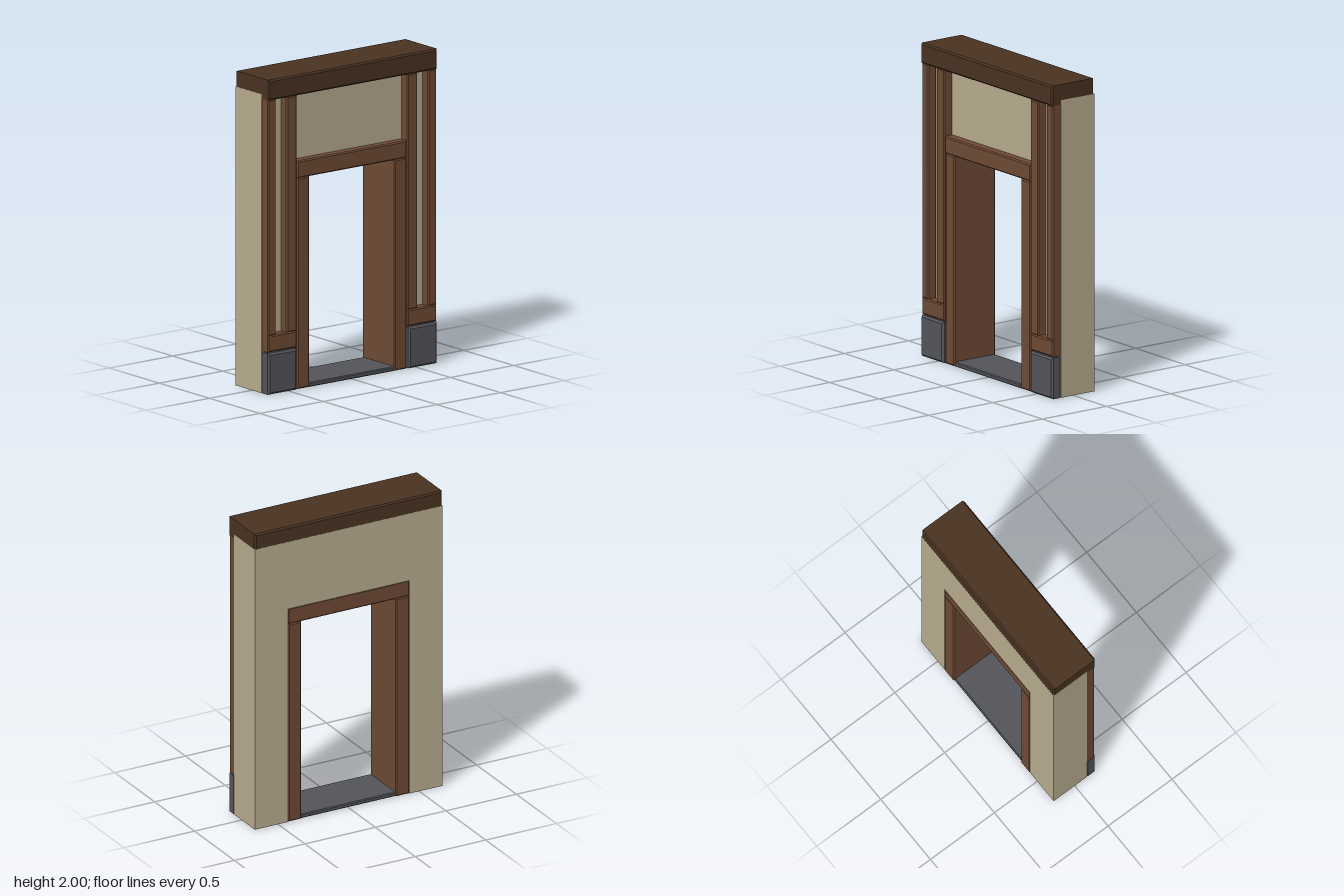
import * as THREE from 'three';

const mat = (name, color) => new THREE.MeshStandardMaterial({ name, color });

// Box with chamfered edges, given by its min and max corners
function chamferBox([x0, y0, z0], [x1, y1, z1], c) {
  const s = new THREE.Shape();
  s.moveTo(x0 + c, y0 + c);
  s.lineTo(x1 - c, y0 + c);
  s.lineTo(x1 - c, y1 - c);
  s.lineTo(x0 + c, y1 - c);
  s.closePath();
  const g = new THREE.ExtrudeGeometry(s, {
    depth: z1 - z0 - 2 * c, bevelEnabled: true, bevelSegments: 1, bevelSize: c, bevelThickness: c,
  });
  return g.translate(0, 0, z0 + c);
}

export function createModel() {
  const model = new THREE.Group();
  model.name = 'doorway';
  const plaster = mat('plaster', 0xb8ac8f);
  const wood = mat('wood', 0x6e4a35);
  const darkWood = mat('darkWood', 0x4a3322);
  const stone = mat('stone', 0x54555b);

  const add = (name, geometry, material) => {
    const mesh = new THREE.Mesh(geometry, material);
    mesh.name = name;
    model.add(mesh);
  };
  const block = (name, min, max, material, c = 0.008) => add(name, chamferBox(min, max, c), material);

  // Plaster wall: an arch-shaped slab around the opening
  const outline = [[-0.665, 0], [-0.43, 0], [-0.43, 1.445], [0.43, 1.445], [0.43, 0], [0.665, 0], [0.665, 1.9], [-0.665, 1.9]];
  const wallShape = new THREE.Shape(outline.map(([x, y]) => new THREE.Vector2(x, y)));
  const wall = new THREE.ExtrudeGeometry(wallShape, { depth: 0.26, bevelEnabled: false });
  add('wall', wall.translate(0, 0, -0.165), plaster);

  // Top beam, lintel and threshold
  block('topBeam', [-0.664, 1.87, -0.164], [0.664, 2, 0.165], darkWood, 0.01);
  block('lintel', [-0.432, 1.34, -0.167], [0.432, 1.45, 0.155], wood);
  block('threshold', [-0.336, 0, -0.16], [0.336, 0.028, 0.155], stone, 0.006);

  // Mirrored side parts
  for (const [side, s] of [['left', 1], ['right', -1]]) {
    const sideBlock = (name, x0, x1, y0, y1, z0, z1, material, c) => {
      const a = Math.min(s * x0, s * x1), b = Math.max(s * x0, s * x1);
      block(side + name, [a, y0, z0], [b, y1, z1], material, c);
    };
    sideBlock('Jamb', 0.335, 0.43, 0, 1.342, -0.167, 0.155, wood);
    sideBlock('OuterPost', 0.598, 0.664, 0.372, 1.872, 0.09, 0.158, wood);
    sideBlock('InnerPost', 0.435, 0.515, 0.372, 1.872, 0.09, 0.158, wood);
    sideBlock('Rail', 0.435, 0.664, 0.268, 0.374, 0.09, 0.158, wood);
    sideBlock('BaseStone', 0.44, 0.665, 0, 0.262, 0.09, 0.165, stone, 0.012);
  }
  return model;
}
